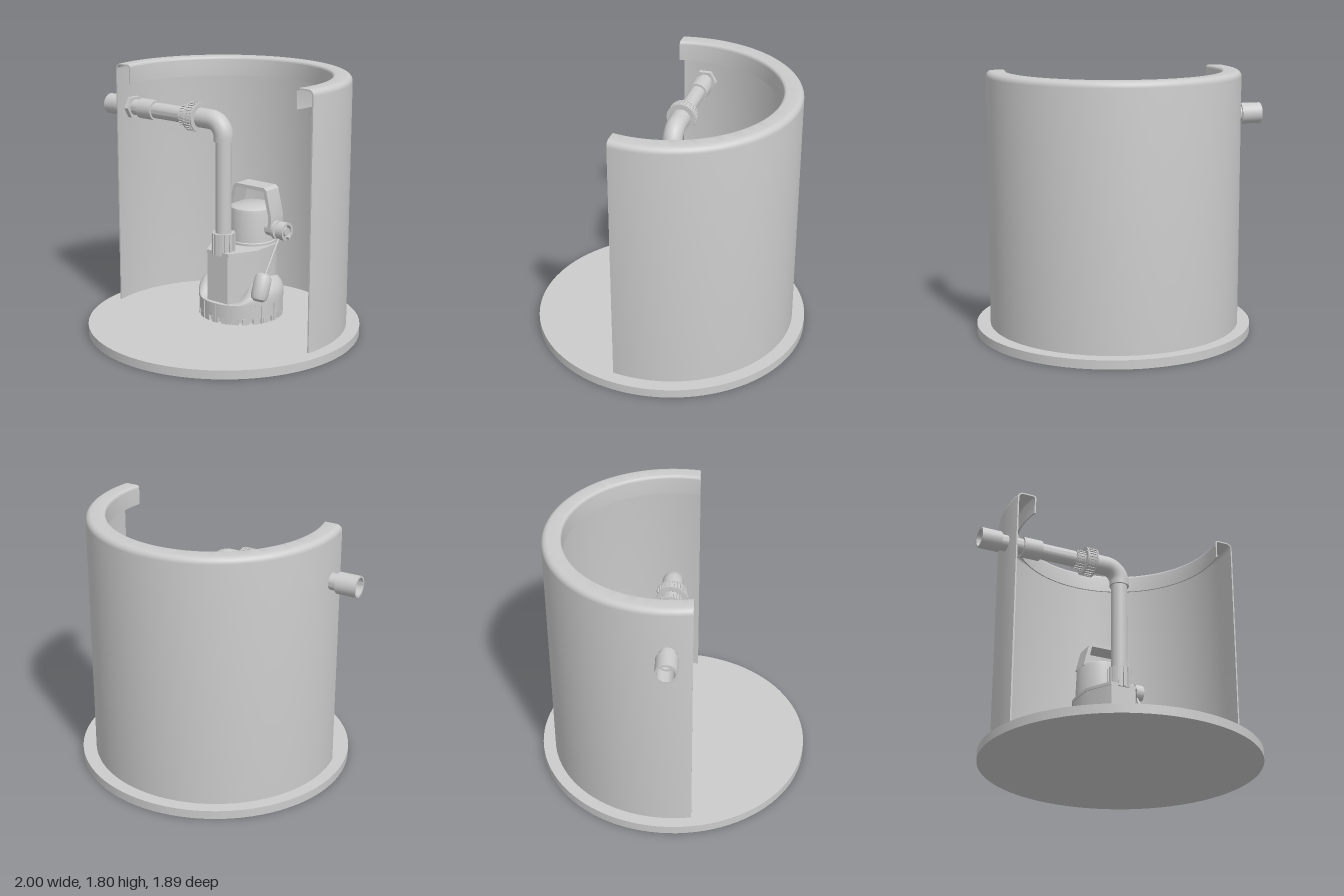
import * as THREE from 'three';
import { toCreasedNormals } from 'three/addons/utils/BufferGeometryUtils.js';

const CX = 0.05; // shared axis of tank, pump and riser
const mat = new THREE.MeshStandardMaterial({ color: 0xcccccc, side: THREE.DoubleSide });
const V2 = (x, y) => new THREE.Vector2(x, y);

function add(parent, name, geo, x = 0, y = 0, z = 0) {
  const m = new THREE.Mesh(geo, mat);
  m.name = name;
  m.position.set(x, y, z);
  parent.add(m);
  return m;
}

// Revolve [radius, height] pairs, keeping hard edges
const lathe = (pts, seg = 48) =>
  toCreasedNormals(new THREE.LatheGeometry(pts.map(p => V2(...p)), seg), 0.6);

// Tank wall with an inverted channel rim, cut flat at the front
function buildTank(g) {
  const cut = 0.157, pts = [];
  const arc = (cx, cy, r, a0, a1) => {
    for (let i = 0; i <= 6; i++) {
      const a = a0 + (a1 - a0) * i / 6;
      pts.push(V2(cx + r * Math.cos(a), cy + r * Math.sin(a)));
    }
  };
  const q = Math.PI / 2;
  pts.push(V2(0.857, 0.06));
  arc(0.817, 1.757, 0.04, 0, q);
  arc(0.745, 1.777, 0.02, q, 2 * q);
  pts.push(V2(0.725, 1.66), V2(0.735, 1.66));
  arc(0.745, 1.777, 0.01, 2 * q, q);
  arc(0.817, 1.757, 0.03, q, 0);
  pts.push(V2(0.847, 0.06), V2(0.857, 0.06));

  const start = 1, len = 2 * Math.PI - 2;
  const geo = new THREE.LatheGeometry(pts, 96, start, len);
  const p = geo.attributes.position;
  for (let i = 0; i < p.count; i++) {
    const r = Math.hypot(p.getX(i), p.getZ(i));
    let a = Math.atan2(p.getX(i), p.getZ(i));
    if (a < 0) a += 2 * Math.PI;
    const a0 = Math.acos(cut / r);
    a = a0 + (a - start) / len * (2 * Math.PI - 2 * a0);
    p.setX(i, r * Math.sin(a));
    p.setZ(i, r * Math.cos(a));
  }
  add(g, 'tankWall', toCreasedNormals(geo, 0.6), CX);

  const section = new THREE.Shape(pts.map(v => V2(Math.sqrt(v.x * v.x - cut * cut), v.y)));
  for (const s of [1, -1])
    add(g, 'wallCutFace', new THREE.ShapeGeometry(section), CX, 0, cut).scale.x = s;
}

// Grip ribs around the y axis
function addRibs(parent, name, n, r, y, w, h, d) {
  for (let i = 0; i < n; i++) {
    const a = i / n * Math.PI * 2;
    add(parent, name, new THREE.BoxGeometry(w, h, d), r * Math.sin(a), y, r * Math.cos(a)).rotation.y = a;
  }
}

function buildPipe(g) {
  // Outlet line: local y runs along -x, measured from the riser axis
  const line = new THREE.Group();
  line.name = 'outletLine';
  line.position.set(CX, 1.468, 0);
  line.rotation.z = Math.PI / 2;
  g.add(line);
  const tube = (name, x0, x1, r, seg = 40, hole = r - 0.014) => {
    const a = CX - x1, b = CX - x0;
    return add(line, name, lathe([[hole, a], [r, a], [r, b], [hole, b], [hole, a]], seg));
  };
  tube('outletSocket', -1, -0.857, 0.072);
  tube('outletPipe', -0.9, -0.12, 0.056);
  tube('wallWasher', -0.805, -0.79, 0.062);
  tube('wallNut', -0.79, -0.756, 0.083, 6, 0.05);
  tube('sleeve', -0.695, -0.56, 0.071, 40, 0.05);
  tube('unionTail', -0.3, -0.235, 0.066, 40, 0.05);
  tube('unionNut', -0.235, -0.155, 0.094, 40, 0.05);
  addRibs(line, 'unionTailRib', 20, 0.067, CX + 0.268, 0.01, 0.06, 0.01);
  addRibs(line, 'unionNutRib', 28, 0.095, CX + 0.2, 0.011, 0.062, 0.012);
  for (const x of [-0.232, -0.163]) tube('unionNutRim', x, x + 0.008, 0.101, 40, 0.06);

  // Elbow from the outlet line down to the riser
  const path = new THREE.CurvePath();
  const v = (x, y) => new THREE.Vector3(x, y, 0);
  path.add(new THREE.LineCurve3(v(-0.157, 1.468), v(-0.06, 1.468)));
  path.add(new THREE.CubicBezierCurve3(v(-0.06, 1.468), v(0.001, 1.468), v(CX, 1.419), v(CX, 1.358)));
  path.add(new THREE.LineCurve3(v(CX, 1.358), v(CX, 1.33)));
  add(g, 'elbow', new THREE.TubeGeometry(path, 40, 0.068, 32));
  add(g, 'elbowLip', new THREE.RingGeometry(0.05, 0.068, 32), CX, 1.33).rotation.x = Math.PI / 2;
  add(g, 'riser', new THREE.CylinderGeometry(0.056, 0.056, 0.74, 40), CX, 0.98);

  // Ribbed coupling at the pump outlet
  const coupling = new THREE.Group();
  coupling.name = 'coupling';
  coupling.position.set(CX, 0, 0);
  g.add(coupling);
  add(coupling, 'couplingBody', new THREE.CylinderGeometry(0.075, 0.075, 0.15, 40), 0, 0.615);
  addRibs(coupling, 'couplingRib', 14, 0.076, 0.615, 0.016, 0.148, 0.016);
}

function buildPump(g) {
  const pump = new THREE.Group();
  pump.name = 'pump';
  pump.position.set(CX, 0, -0.2);
  g.add(pump);

  // Slotted strainer base
  add(pump, 'strainer', lathe([[0, 0.065], [0.275, 0.065], [0.275, 0.1], [0.295, 0.1], [0.295, 0.19], [0.3, 0.192], [0.3, 0.2], [0, 0.2]], 64));
  addRibs(pump, 'strainerFoot', 24, 0.286, 0.08, 0.05, 0.042, 0.02);
  addRibs(pump, 'strainerRib', 16, 0.293, 0.128, 0.014, 0.136, 0.014);

  // Rounded shoulder that fades out toward the front
  const prof = [[0.3, 0.2], [0.3, 0.23]];
  for (let i = 1; i <= 8; i++) {
    const a = i / 8 * Math.PI / 2;
    prof.push([0.19 + 0.11 * Math.cos(a), 0.23 + 0.11 * Math.sin(a)]);
  }
  prof.push([0.05, 0.34]);
  const shoulder = new THREE.LatheGeometry(prof.map(p => V2(...p)), 72);
  const p = shoulder.attributes.position;
  for (let i = 0; i < p.count; i++) {
    const a = Math.abs(Math.atan2(p.getX(i), p.getZ(i)));
    p.setY(i, 0.2 + (p.getY(i) - 0.2) * THREE.MathUtils.smoothstep(a, 0.45, 1.15));
  }
  add(pump, 'shoulder', toCreasedNormals(shoulder, 0.7));

  // Housing: round at the back, tapering to the outlet at the front
  const outline = (o) => {
    const s = new THREE.Shape();
    s.moveTo(0.19 + o, -0.08);
    s.lineTo(0.09 + o, -0.265);
    s.lineTo(-0.09 - o, -0.265);
    s.lineTo(-0.19 - o, -0.08);
    s.absarc(0, 0.105, 0.19 + o, Math.PI, 0, true);
    s.closePath();
    return s;
  };
  const slab = (name, o, y, h) => {
    const geo = new THREE.ExtrudeGeometry(outline(o), { depth: h, bevelEnabled: false, curveSegments: 32 });
    geo.rotateX(-Math.PI / 2);
    add(pump, name, toCreasedNormals(geo, 0.6), 0, y, 0);
  };
  slab('housing', 0, 0.19, 0.352);
  slab('housingLid', 0.006, 0.542, 0.022);

  // Motor cap
  add(pump, 'motorCap', lathe([[0.175, 0.56], [0.175, 0.58], [0.168, 0.585], [0.16, 0.79], [0.155, 0.815], [0.14, 0.825], [0, 0.83]]), 0, 0, -0.12);

  // Carrying handle, a flat strap
  const h = new THREE.Shape([
    [-0.155, 0.8], [-0.115, 0.955], [-0.09, 0.978], [0.155, 0.978], [0.176, 0.96], [0.222, 0.77], [0.215, 0.7],
    [0.188, 0.7], [0.197, 0.77], [0.15, 0.952], [-0.09, 0.952], [-0.125, 0.8]].map(q => V2(...q)));
  add(pump, 'handle', toCreasedNormals(new THREE.ExtrudeGeometry(h, { depth: 0.14, bevelEnabled: false }), 0.5), 0, 0, -0.19);

  // Float switch: side boss, slotted knob, cable and float
  const sw = new THREE.Group();
  sw.name = 'floatSwitch';
  sw.position.set(0.14, 0.68, -0.11);
  sw.rotation.z = -Math.PI / 2;
  pump.add(sw);
  add(sw, 'switchBoss', lathe([[0.05, 0], [0.05, 0.075], [0.066, 0.08], [0.066, 0.1], [0.04, 0.105], [0.04, 0.12], [0, 0.12]], 32));
  add(sw, 'knobHub', new THREE.CylinderGeometry(0.03, 0.03, 0.08, 24), 0, 0.135, 0);
  const ring = new THREE.Shape().absarc(0, 0, 0.064, 0.35, 2 * Math.PI - 0.35, false);
  ring.absarc(0, 0, 0.046, 2 * Math.PI - 0.35, 0.35, true);
  const ringGeo = new THREE.ExtrudeGeometry(ring, { depth: 0.06, bevelEnabled: false, curveSegments: 24 });
  ringGeo.rotateX(-Math.PI / 2);
  add(sw, 'knobRing', toCreasedNormals(ringGeo, 0.6), 0, 0.118, 0);
  add(sw, 'knobBar', new THREE.BoxGeometry(0.1, 0.05, 0.02), 0, 0.14, 0);

  const cable = new THREE.LineCurve3(new THREE.Vector3(0.27, 0.67, -0.1), new THREE.Vector3(0.27, 0.4, 0.08));
  add(pump, 'floatCable', new THREE.TubeGeometry(cable, 1, 0.009, 12));
  const float = add(pump, 'float', lathe([[0, -0.1], [0.03, -0.098], [0.052, -0.082], [0.06, -0.055], [0.06, 0.06], [0.05, 0.085], [0.025, 0.1], [0, 0.1]], 32), 0.27, 0.325, 0.12);
  float.rotation.x = -0.36;
}

export function createModel() {
  const g = new THREE.Group();
  g.name = 'sumpPumpStation';
  add(g, 'basePlate', new THREE.CylinderGeometry(0.945, 0.945, 0.06, 96), 0.055, 0.03, 0);
  buildTank(g);
  buildPipe(g);
  buildPump(g);
  return g;
}
